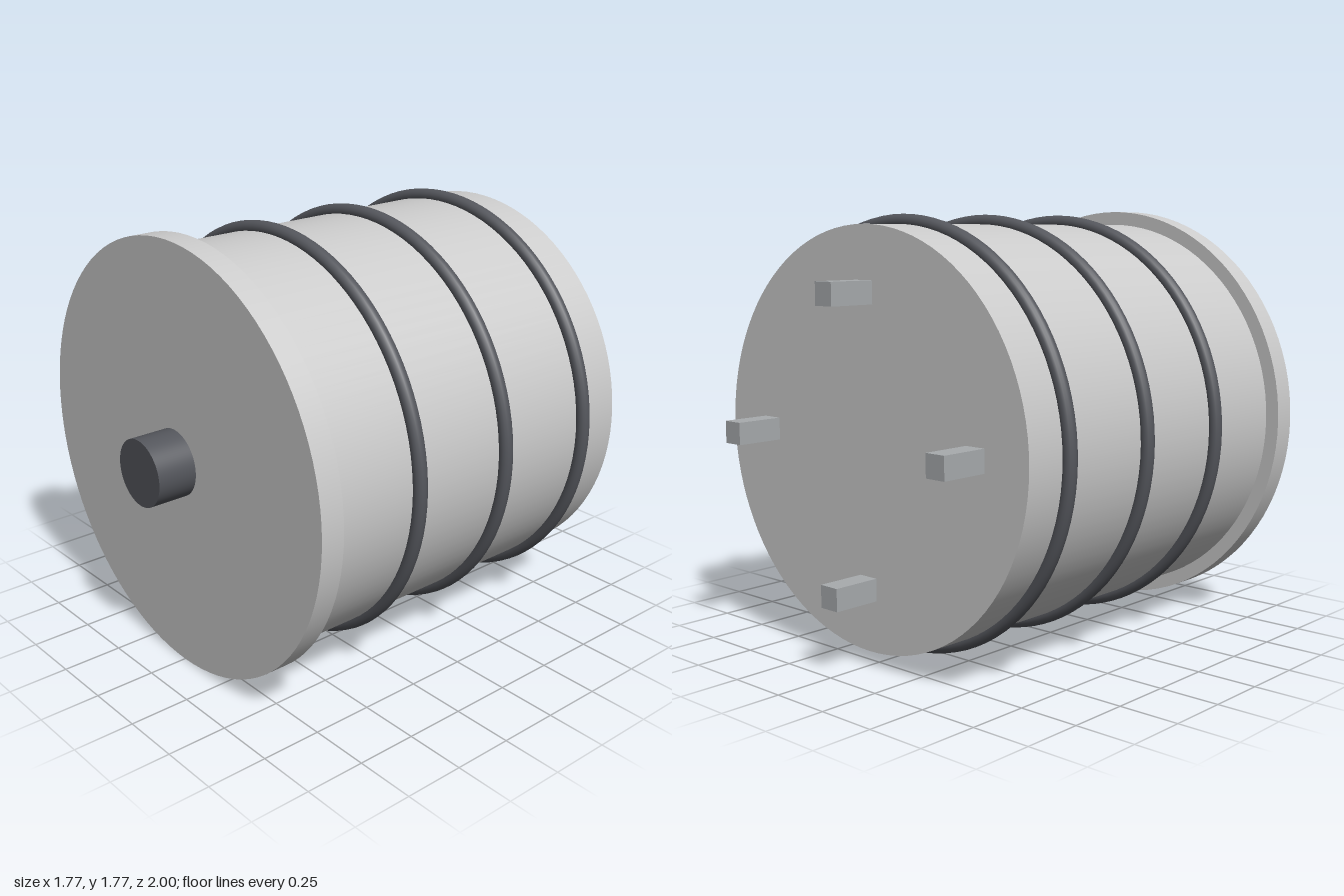
import * as THREE from 'three';

const CY = 0.885; // height of the main axis

export function createModel() {
  const model = new THREE.Group();
  const grey = new THREE.MeshStandardMaterial({ color: 0xcccccc });
  const dark = new THREE.MeshStandardMaterial({ color: 0x54565c });
  const metal = new THREE.MeshStandardMaterial({ color: 0xa8abae });

  const add = (name, geometry, material, x, y, z) => {
    const mesh = new THREE.Mesh(geometry, material);
    mesh.name = name;
    mesh.position.set(x, CY + y, z);
    model.add(mesh);
  };

  // Cylinder along z between two depths
  const disc = (name, radius, back, front, material) => {
    const geometry = new THREE.CylinderGeometry(radius, radius, front - back, 96);
    geometry.rotateX(Math.PI / 2);
    add(name, geometry, material, 0, 0, (front + back) / 2);
  };

  disc('body', 0.827, -0.8, 0.735, grey);
  disc('frontFlange', 0.885, 0.735, 0.835, grey);
  disc('frontButton', 0.137, 0.835, 1, dark);

  // Sealing rings around the body
  const ring = new THREE.TorusGeometry(0.837, 0.029, 16, 96);
  [0.325, -0.135, -0.595].forEach((z, i) => add(`sealRing${i + 1}`, ring, dark, 0, 0, z));

  // Four square pins on the back face
  const pin = new THREE.BoxGeometry(0.09, 0.09, 0.2);
  for (let i = 0; i < 4; i++) {
    const a = (i * Math.PI) / 2;
    add(`backPin${i + 1}`, pin, metal, 0.573 * Math.cos(a), 0.573 * Math.sin(a), -0.9);
  }

  return model;
}
